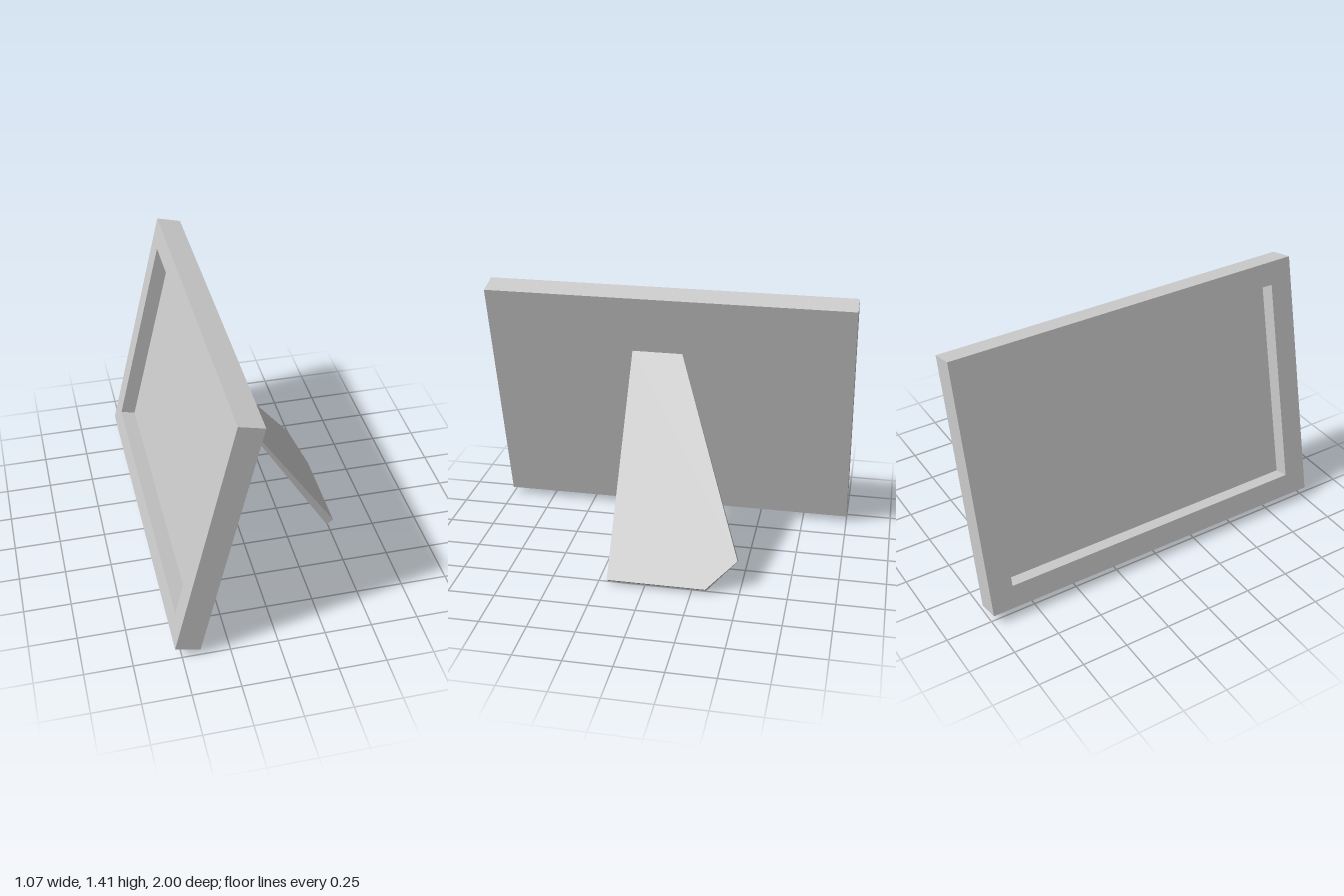
import * as THREE from 'three';

const H = 1.383, DEPTH = 0.134, RECESS = 0.082, BORDER = 0.125;

// Upright panel outline, x across and y up from its lower edge
function rect(path, halfWidth, y0, y1) {
  path.moveTo(-halfWidth, y0);
  path.lineTo(halfWidth, y0);
  path.lineTo(halfWidth, y1);
  path.lineTo(-halfWidth, y1);
  path.closePath();
  return path;
}

// Wedge-shaped stand: sharp at the hinge, thick at the foot
function wedgeGeometry(outer, inner) {
  const pos = [];
  const tri = (...pts) => pts.forEach(p => pos.push(...p));
  const n = outer.length;
  for (let i = 1; i < n - 1; i++) {
    tri(outer[0], outer[i + 1], outer[i]);
    tri(inner[0], inner[i], inner[i + 1]);
  }
  // edge walls; the hinge edge (0 to 1) has no thickness
  for (let i = 1; i < n; i++) {
    const j = (i + 1) % n;
    tri(outer[i], outer[j], inner[j]);
    tri(outer[i], inner[j], inner[i]);
  }
  const g = new THREE.BufferGeometry();
  g.setAttribute('position', new THREE.Float32BufferAttribute(pos, 3));
  g.computeVertexNormals();
  return g;
}

export function createModel() {
  const model = new THREE.Group();
  model.name = 'pictureFrame';
  const mat = new THREE.MeshStandardMaterial({ color: 0xcccccc, flatShading: true });

  // Leaning frame, picture side facing -x
  const frame = new THREE.Group();
  frame.name = 'frame';
  frame.position.set(-0.535, 0.067, 0);
  frame.rotation.z = -0.2335;
  model.add(frame);

  const outline = rect(new THREE.Shape(), 1, 0, H);
  outline.holes.push(rect(new THREE.Path(), 0.873, BORDER, H - BORDER));
  const borderGeo = new THREE.ExtrudeGeometry(outline, { depth: RECESS, bevelEnabled: false });
  borderGeo.rotateY(Math.PI / 2);
  const border = new THREE.Mesh(borderGeo, mat);
  border.name = 'border';
  frame.add(border);

  // Backing board closes the recess
  const back = new THREE.Mesh(new THREE.BoxGeometry(DEPTH - RECESS, H, 2), mat);
  back.name = 'backingBoard';
  back.position.set((DEPTH + RECESS) / 2, H / 2, 0);
  frame.add(back);

  // Easel leg
  const hinge = [[-0.157, 1.062, 0.2], [-0.157, 1.062, -0.075]];
  const leg = new THREE.Mesh(wedgeGeometry(
    [...hinge, [0.445, 0.165, -0.48], [0.532, 0.028, -0.325], [0.532, 0.028, 0.2]],
    [...hinge, [0.405, 0.145, -0.48], [0.495, 0, -0.325], [0.495, 0, 0.2]]
  ), mat);
  leg.name = 'easelLeg';
  model.add(leg);

  return model;
}
